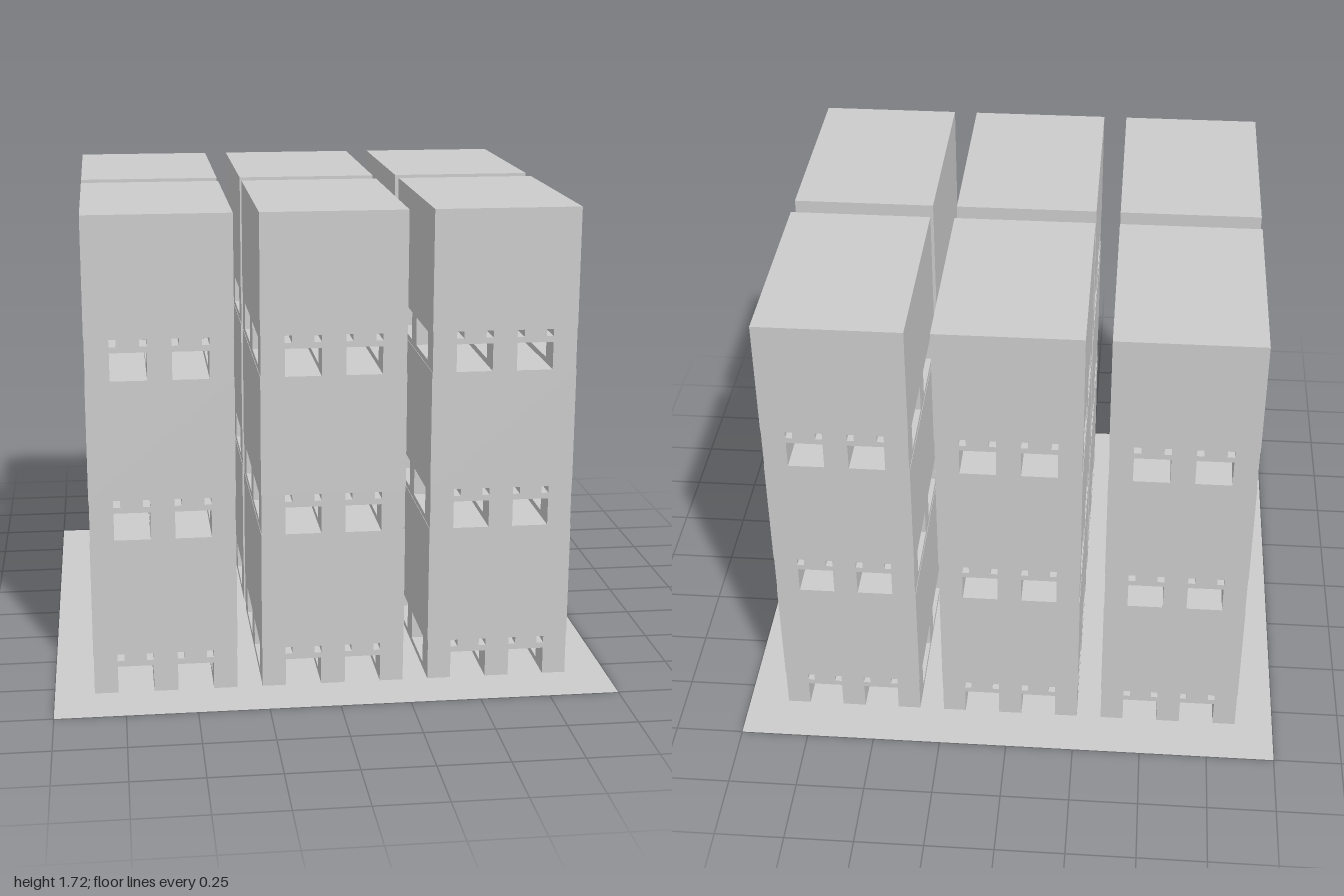
import * as THREE from 'three';

const MODULE_H = 0.573, BASE_H = 0.147, WIDTH = 0.513, DEPTH = 0.771;
const BASE_W = 0.51;
const BAY_IN = 0.048, BAY_OUT = 0.283;      // side tunnels, from centre in z
const SLOT_IN = 0.043, SLOT_OUT = 0.171;    // front tunnels, from centre in x
const SIDE_BOTTOM = 0.021, SIDE_TOP = 0.123, SLOT_TOP = 0.099;
const HOLE_X = [-0.159, -0.055, 0.055, 0.159], HOLE = 0.025, HOLE_TOP = 0.145;

// Rectangle y0..y1 whose lower edge is cut by notches [x0, x1, top]
function notchedShape(y0, y1, notches) {
  const s = new THREE.Shape();
  s.moveTo(-BASE_W / 2, y0);
  for (const [a, b, top] of notches) {
    s.lineTo(a, y0);
    s.lineTo(a, top);
    s.lineTo(b, top);
    s.lineTo(b, y0);
  }
  s.lineTo(BASE_W / 2, y0);
  s.lineTo(BASE_W / 2, y1);
  s.lineTo(-BASE_W / 2, y1);
  s.closePath();
  return s;
}

function extrudeZ(shape, z0, z1) {
  return new THREE.ExtrudeGeometry(shape, { depth: z1 - z0, bevelEnabled: false }).translate(0, 0, z0);
}

// Cross frames: two tall slots with a row of small square holes above
function frameShape() {
  const s = notchedShape(0, BASE_H, [[-SLOT_OUT, -SLOT_IN, SLOT_TOP], [SLOT_IN, SLOT_OUT, SLOT_TOP]]);
  for (const x of HOLE_X) {
    const h = new THREE.Path();
    h.moveTo(x - HOLE / 2, HOLE_TOP - HOLE);
    h.lineTo(x - HOLE / 2, HOLE_TOP);
    h.lineTo(x + HOLE / 2, HOLE_TOP);
    h.lineTo(x + HOLE / 2, HOLE_TOP - HOLE);
    h.closePath();
    s.holes.push(h);
  }
  return s;
}

export function createModel() {
  const model = new THREE.Group();
  model.name = 'towerBlocks';
  const grey = new THREE.MeshStandardMaterial({ color: 0xcccccc, flatShading: true });
  const thin = new THREE.MeshStandardMaterial({ color: 0xcccccc, side: THREE.DoubleSide });

  // Thin ground plate
  const plate = new THREE.Mesh(new THREE.PlaneGeometry(2, 2).rotateX(-Math.PI / 2), thin);
  plate.name = 'groundPlate';
  model.add(plate);

  // Parts shared by every stacked module
  const parts = [];
  const bodyH = MODULE_H - BASE_H;
  parts.push(['body', new THREE.BoxGeometry(WIDTH, bodyH, DEPTH).translate(0, BASE_H + bodyH / 2, 0)]);

  const frame = frameShape();
  for (const [a, b] of [[-DEPTH / 2, -BAY_OUT], [-BAY_IN, BAY_IN], [BAY_OUT, DEPTH / 2]]) {
    parts.push(['crossFrame', extrudeZ(frame, a, b)]);
  }

  const deck = notchedShape(SIDE_TOP, BASE_H, HOLE_X.map(x => [x - HOLE / 2, x + HOLE / 2, HOLE_TOP]));
  const edge = (BASE_W / 2 - SLOT_OUT);
  for (const [a, b] of [[-BAY_OUT, -BAY_IN], [BAY_IN, BAY_OUT]]) {
    parts.push(['tunnelDeck', extrudeZ(deck, a, b)]);
    // Low runners that floor the side tunnels
    for (const [x, w] of [[-BASE_W / 2 + edge / 2, edge], [0, 2 * SLOT_IN], [BASE_W / 2 - edge / 2, edge]]) {
      parts.push(['runner', new THREE.BoxGeometry(w, SIDE_BOTTOM, b - a)
        .translate(x, SIDE_BOTTOM / 2, (a + b) / 2)]);
    }
  }

  // Two rows of three towers, each three modules high
  for (const z of [0.417, -0.439]) {
    for (const x of [-0.604, -0.003, 0.598]) {
      const tower = new THREE.Group();
      tower.name = 'tower';
      tower.position.set(x, 0, z);
      for (let level = 0; level < 3; level++) {
        const unit = new THREE.Group();
        unit.name = 'stackedModule';
        unit.position.y = level * MODULE_H;
        for (const [name, geometry] of parts) {
          const mesh = new THREE.Mesh(geometry, grey);
          mesh.name = name;
          unit.add(mesh);
        }
        tower.add(unit);
      }
      model.add(tower);
    }
  }
  return model;
}
